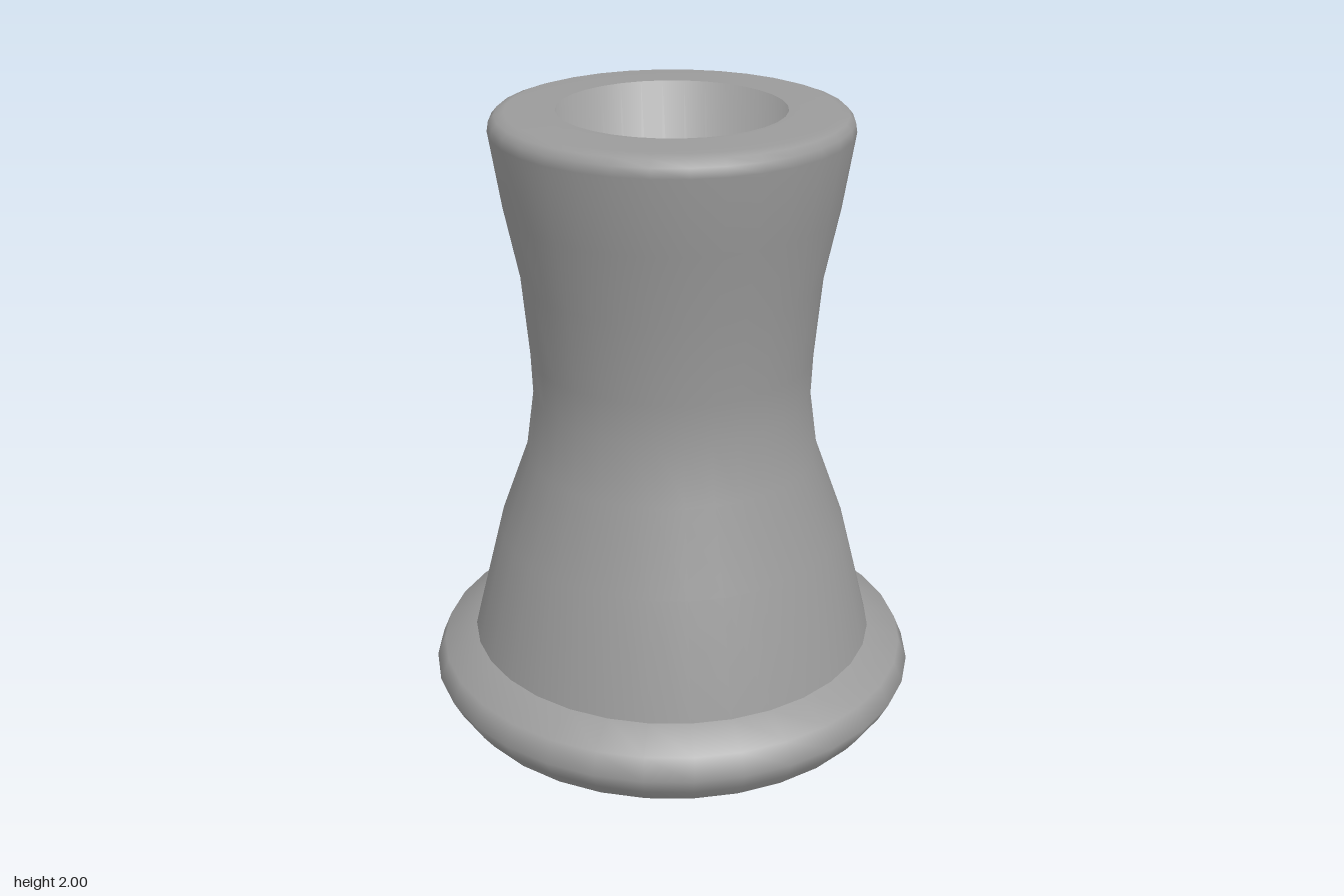
import * as THREE from 'three';

const SIDES = 32;

export function createModel() {
  const group = new THREE.Group();
  const material = new THREE.MeshStandardMaterial({ color: 0x9b9b9b });

  // Each part turns a [radius, height] profile around the y axis
  const turned = (name, profile) => {
    const points = profile.map(([r, y]) => new THREE.Vector2(r, y));
    const mesh = new THREE.Mesh(new THREE.LatheGeometry(points, SIDES), material);
    mesh.name = name;
    group.add(mesh);
    return mesh;
  };

  // Blends shading from the axis (straight up or down) to a tilt at the edge
  const soften = (mesh, spread, up) => {
    const { position, normal } = mesh.geometry.attributes;
    const n = new THREE.Vector3();
    for (let i = 0; i < position.count; i++) {
      n.set(position.getX(i) * spread, up, position.getZ(i) * spread).normalize();
      normal.setXYZ(i, n.x, n.y, n.z);
    }
  };

  // Rounded foot
  turned('base', [
    [0.738, 0], [0.775, 0.05], [0.806, 0.11], [0.777, 0.18], [0.668, 0.23],
  ]);

  // Closed underside, shaded smoothly into the foot
  soften(turned('underside', [[0, 0], [0.738, 0]]), 1, -1);

  // Waisted column ending in a softly rounded rim
  turned('body', [
    [0.668, 0.23], [0.573, 0.61], [0.477, 0.875], [0.449, 1.08], [0.454, 1.21],
    [0.477, 1.47], [0.524, 1.7], [0.562, 1.94], [0.557, 1.97], [0.54, 1.99],
    [0.51, 2], [0.355, 2],
  ]);

  // Hollow sunk into the top, its wall shaded smoothly into the floor
  soften(turned('bore', [[0.355, 2], [0.355, 0.6], [0, 0.6]]), -2.8, 1);

  return group;
}
